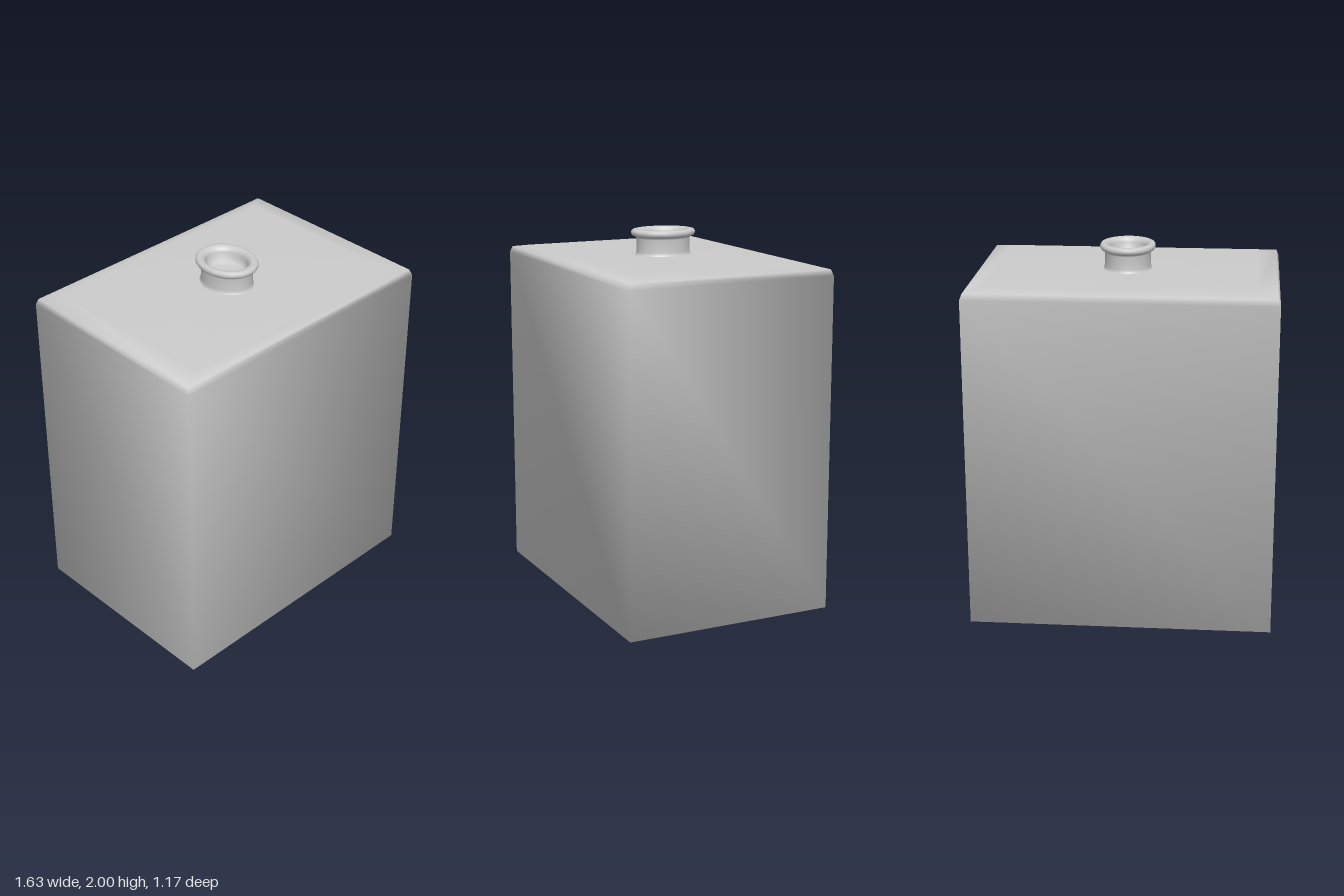
import * as THREE from 'three';

const material = new THREE.MeshStandardMaterial({ color: 0xcccccc });

function addMesh(group, name, geometry) {
  const mesh = new THREE.Mesh(geometry, material);
  mesh.name = name;
  group.add(mesh);
}

// Rectangular cross-sections [halfWidth, y, halfDepth] joined into one softly shaded shell
function rectLoft(sections) {
  const corners = [[1, 1], [1, -1], [-1, -1], [-1, 1]];
  const positions = [];
  const index = [];
  for (const [w, y, d] of sections) {
    for (const [sx, sz] of corners) positions.push(sx * w, y, sz * d);
  }
  for (let s = 0; s < sections.length - 1; s++) {
    for (let i = 0; i < 4; i++) {
      const a = s * 4 + i;
      const b = s * 4 + (i + 1) % 4;
      index.push(a, b, a + 4, b, b + 4, a + 4);
    }
  }
  const t = (sections.length - 1) * 4;
  index.push(0, 2, 1, 0, 3, 2); // base
  index.push(t, t + 1, t + 2, t, t + 2, t + 3); // top
  const geometry = new THREE.BufferGeometry();
  geometry.setAttribute('position', new THREE.Float32BufferAttribute(positions, 3));
  geometry.setIndex(index);
  geometry.computeVertexNormals();
  return geometry;
}

export function createModel() {
  const group = new THREE.Group();
  group.name = 'bottle';

  // Rectangular body with a soft bevel around the shoulder
  addMesh(group, 'body', rectLoft([
    [0.817, 0, 0.583],
    [0.817, 1.81, 0.583],
    [0.805, 1.843, 0.571],
    [0.7, 1.86, 0.5],
    [0.2, 1.862, 0.16],
  ]));

  // Oval neck with a rolled lip and a recessed mouth
  const profile = [
    [0.135, 1.855], [0.128, 1.866], [0.124, 1.88], [0.124, 1.95], [0.13, 1.96],
    [0.143, 1.966], [0.149, 1.976], [0.149, 1.988], [0.143, 1.997], [0.132, 2],
    [0.118, 1.998], [0.106, 1.988], [0.1, 1.972], [0.098, 1.945], [0.085, 1.925],
    [0.05, 1.918], [0, 1.916],
  ].map(([r, y]) => new THREE.Vector2(r, y));
  const neck = new THREE.LatheGeometry(profile, 48);
  neck.scale(1, 1, 1.2);
  addMesh(group, 'neck', neck);

  return group;
}
